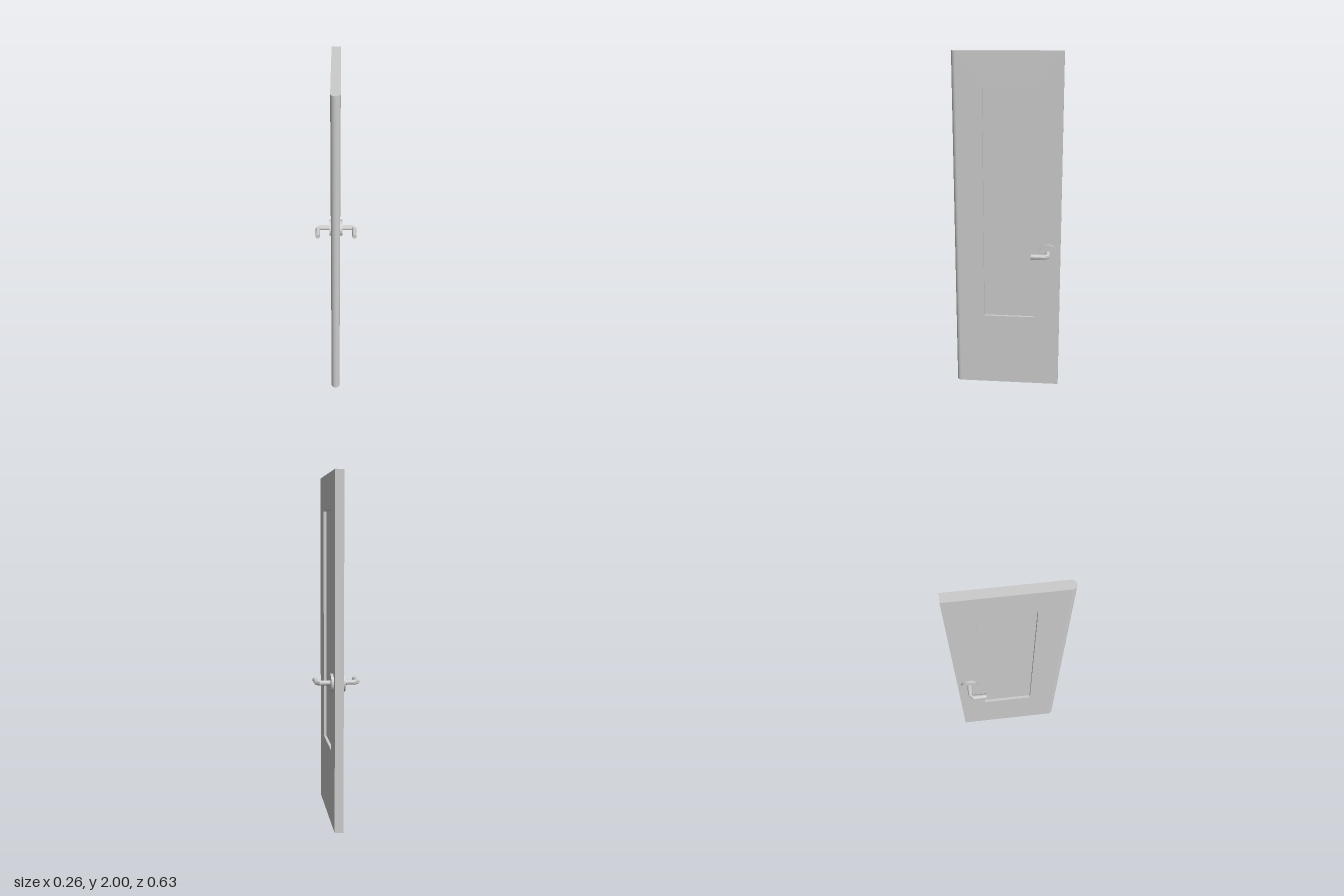
import * as THREE from 'three';
import { toCreasedNormals } from 'three/addons/utils/BufferGeometryUtils.js';

const HALF = 0.025;           // half thickness of the door
const BACK = -0.313, FRONT = 0.313, HEIGHT = 2;
const HANDLE_Y = 0.853, HANDLE_Z = -0.24;

const material = new THREE.MeshStandardMaterial({ color: 0xcccccc });

function addPart(parent, name, geometry, x = 0, y = 0, z = 0) {
  const mesh = new THREE.Mesh(geometry, material);
  mesh.name = name;
  mesh.position.set(x, y, z);
  parent.add(mesh);
  return mesh;
}

function rectangle(path, a0, b0, a1, b1) {
  return path.moveTo(a0, b0).lineTo(a1, b0).lineTo(a1, b1).lineTo(a0, b1).closePath();
}

// Door leaf drawn in the z-y plane with the panel opening cut out
function leafGeometry(opening) {
  const shape = rectangle(new THREE.Shape(), BACK, 0, FRONT - HALF, HEIGHT);
  shape.holes.push(rectangle(new THREE.Path(), ...opening));
  return new THREE.ExtrudeGeometry(shape, { depth: 2 * HALF, bevelEnabled: false })
    .rotateY(-Math.PI / 2)
    .translate(HALF, 0, 0);
}

// Round bar with one mitred bend: a cylinder whose rings are moved along an L-shaped path
function leverGeometry(r) {
  const bend = 0.1;
  const rings = [
    { x: 0.02, z: 0, out: false },
    { x: bend, z: 0, out: false },
    { x: bend + r, z: r, out: true },
    { x: bend + r, z: 0.095, out: true },
  ];
  const geometry = new THREE.CylinderGeometry(r, r, 1, 20, 3);
  const p = geometry.attributes.position;
  for (let i = 0; i < p.count; i++) {
    const ring = rings[Math.round((0.5 - p.getY(i)) * 3)];
    const up = p.getX(i), side = p.getZ(i);
    if (ring.out) p.setXYZ(i, ring.x - side, up, ring.z);
    else p.setXYZ(i, ring.x, up, ring.z + side);
  }
  return toCreasedNormals(geometry, 0.5);
}

export function createModel() {
  const model = new THREE.Group();
  model.name = 'door';

  // Leaf, rounded edge and recessed panel
  const opening = [-0.16, 0.44, 0.14, 1.8];
  const [z0, y0, z1, y1] = opening;
  addPart(model, 'doorLeaf', leafGeometry(opening));
  addPart(model, 'roundedEdge',
    new THREE.CylinderGeometry(HALF, HALF, HEIGHT, 16, 1, false, -Math.PI / 2, Math.PI),
    0, HEIGHT / 2, FRONT - HALF);
  addPart(model, 'recessedPanel', new THREE.BoxGeometry(0.018, y1 - y0, z1 - z0),
    0, (y0 + y1) / 2, (z0 + z1) / 2);

  // Lever handle with its round plate on both faces
  for (const side of ['left', 'right']) {
    const handle = new THREE.Group();
    handle.name = side + 'Handle';
    handle.position.set(0, HANDLE_Y, HANDLE_Z);
    if (side === 'right') handle.rotation.z = Math.PI;
    addPart(handle, 'rosette',
      new THREE.CylinderGeometry(0.05, 0.05, 0.016, 32).rotateZ(Math.PI / 2), 0.032);
    addPart(handle, 'lever', leverGeometry(0.014));
    model.add(handle);
  }
  return model;
}
